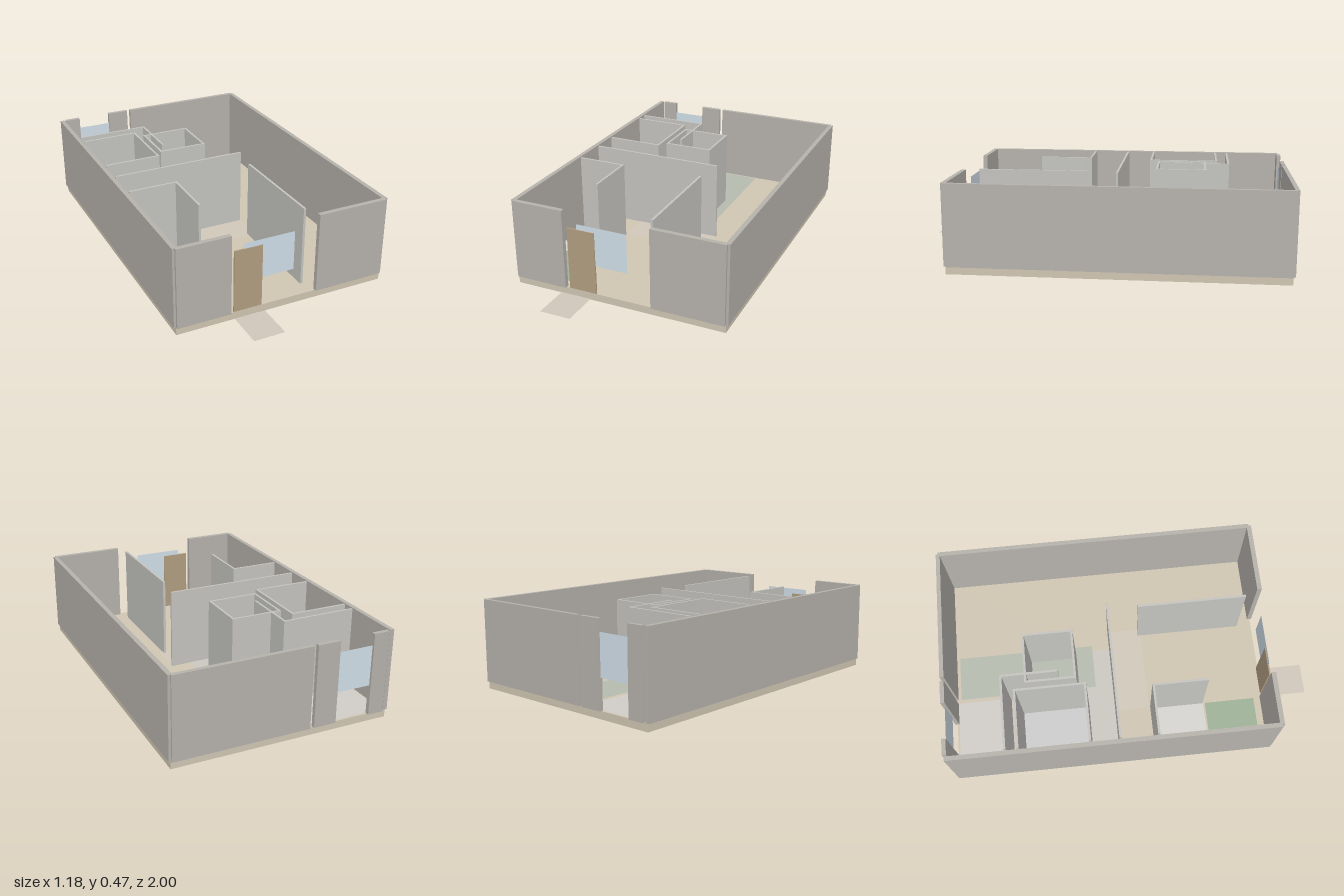
import * as THREE from 'three';

const FLOOR = 0.04, TOP = 0.473;

export function createModel() {
  const model = new THREE.Group();
  const paint = (color) => new THREE.MeshStandardMaterial({ color, side: THREE.DoubleSide });
  const outer = paint(0xb5b1ab), inner = paint(0xc4c3bf), glass = paint(0xd0dee8);
  const tan = paint(0xcfc5b2), wood = paint(0xb09d80);

  // Box given by its extents
  function block(name, material, x0, x1, y0, y1, z0, z1) {
    const mesh = new THREE.Mesh(new THREE.BoxGeometry(x1 - x0, y1 - y0, z1 - z0), material);
    mesh.position.set((x0 + x1) / 2, (y0 + y1) / 2, (z0 + z1) / 2);
    mesh.name = name;
    model.add(mesh);
  }
  // Flat floor covering
  function covering(name, color, y, x0, x1, z0, z1) {
    const mesh = new THREE.Mesh(new THREE.PlaneGeometry(x1 - x0, z1 - z0), paint(color));
    mesh.rotation.x = -Math.PI / 2;
    mesh.position.set((x0 + x1) / 2, y, (z0 + z1) / 2);
    mesh.name = name;
    model.add(mesh);
  }
  // Upright window pane
  function pane(name, x0, x1, z) {
    const mesh = new THREE.Mesh(new THREE.PlaneGeometry(x1 - x0, 0.213), glass);
    mesh.position.set((x0 + x1) / 2, 0.303, z);
    mesh.name = name;
    model.add(mesh);
  }

  block('floorSlab', tan, -0.58, 0.58, 0, FLOOR, -0.988, 0.753);

  // Outer walls: x0, x1, z0, z1
  const outerWalls = {
    rightSideWall: [-0.59, -0.566, -0.99, 0.75],
    leftSideWall: [0.566, 0.59, -0.99, 0.75],
    frontWallRight: [-0.578, -0.292, 0.738, 0.763],
    frontWallLeft: [0.187, 0.577, 0.738, 0.763],
    backWallCorner: [-0.557, -0.472, -1, -0.978],
    backWallPier: [-0.282, -0.161, -1, -0.978],
    backWallLong: [-0.14, 0.577, -1, -0.978],
  };
  for (const [name, [x0, x1, z0, z1]] of Object.entries(outerWalls))
    block(name, outer, x0, x1, FLOOR, TOP, z0, z1);

  // Thin partitions
  const partitions = {
    bathroomFront: [-0.557, -0.159, -0.688, -0.676],
    bathroomSide: [-0.171, -0.159, -0.676, -0.38],
    storeBack: [-0.557, -0.244, -0.621, -0.609],
    storeSide: [-0.256, -0.244, -0.609, -0.249],
    storeFront: [-0.557, -0.244, -0.249, -0.237],
    coreBack: [-0.216, 0.058, -0.558, -0.546],
    coreFront: [-0.216, 0.058, -0.297, -0.285],
    coreRight: [-0.216, -0.204, -0.546, -0.297],
    coreLeft: [0.046, 0.058, -0.546, -0.297],
    crossWall: [-0.557, 0.187, -0.092, -0.08],
    livingWall: [0.15, 0.163, 0.08, 0.67],
    closetBack: [-0.557, -0.288, 0.108, 0.12],
    closetSide: [-0.3, -0.288, 0.12, 0.407],
  };
  for (const [name, [x0, x1, z0, z1]] of Object.entries(partitions))
    block(name, inner, x0, x1, FLOOR, TOP, z0, z1);

  // Door and windows
  block('frontDoor', wood, -0.273, -0.12, FLOOR, 0.38, 0.744, 0.752);
  pane('frontWindow', -0.22, 0.057, 0.748);
  pane('backWindow', -0.472, -0.282, -0.988);

  // Floor coverings and entrance mat
  covering('bathroomFloor', 0xd0cdc9, 0.042, -0.557, -0.16, -0.978, -0.68);
  covering('storeFloor', 0xcccac8, 0.042, -0.557, -0.25, -0.61, -0.24);
  covering('hallFloor', 0xcbc8c1, 0.042, -0.557, 0.08, -0.26, -0.09);
  covering('landingFloor', 0xcfc8ba, 0.042, -0.293, 0.187, -0.08, 0.1);
  covering('closetFloor', 0xd6d4d0, 0.042, -0.557, -0.297, 0.12, 0.41);
  covering('longRug', 0xb6bbae, 0.044, -0.14, 0.11, -0.96, -0.19);
  covering('greenRug', 0x9fb198, 0.044, -0.557, -0.3, 0.42, 0.7);
  covering('entranceMat', 0xcfc7bb, 0.036, -0.293, -0.127, 0.8, 1);

  return model;
}
